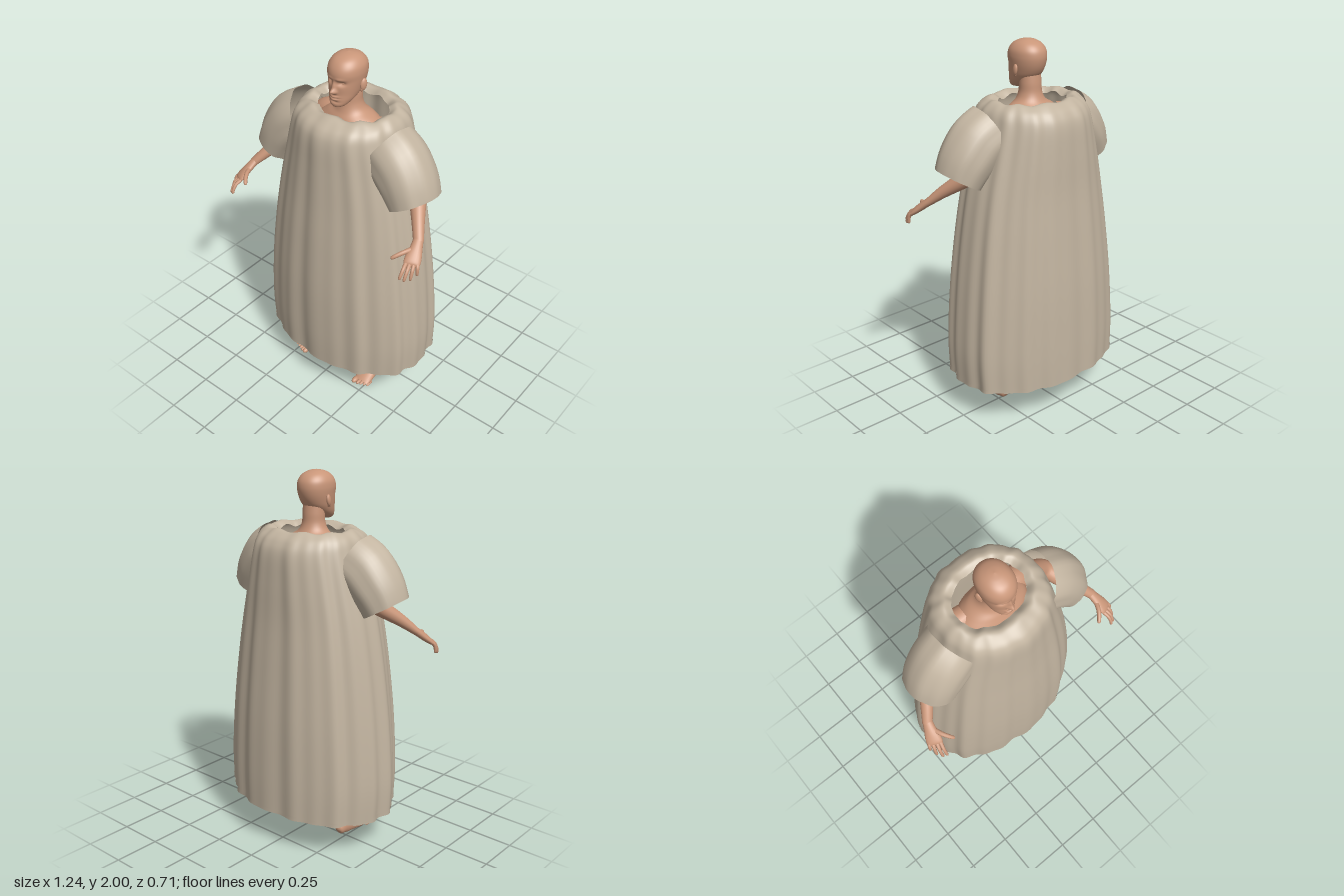
import * as THREE from 'three';

const skin = new THREE.MeshStandardMaterial({ color: 0xc99679 });
skin.name = 'skin';
const cloth = new THREE.MeshStandardMaterial({ color: 0xc2b4a0, side: THREE.DoubleSide });
cloth.name = 'cloth';

const TAU = Math.PI * 2;

// smooth interpolation through rows of numbers
function mix(rows, t) {
  const n = rows.length, s = Math.min(Math.max(t, 0), 1) * (n - 1);
  const i = Math.min(Math.floor(s), n - 2), f = s - i;
  const a = rows[Math.max(i - 1, 0)], b = rows[i], c = rows[i + 1], d = rows[Math.min(i + 2, n - 1)];
  return b.map((_, k) => b[k] + 0.5 * f * (c[k] - a[k]
    + f * (2 * a[k] - 5 * b[k] + 4 * c[k] - d[k] + f * (3 * (b[k] - c[k]) + d[k] - a[k]))));
}

// closed-around surface: fn(t along, angle) -> Vector3
function skinOver(steps, seg, fn) {
  const pos = [], idx = [];
  for (let i = 0; i <= steps; i++) {
    for (let j = 0; j < seg; j++) {
      pos.push(...fn(i / steps, j / seg * TAU).toArray());
      if (i === steps) continue;
      const a = i * seg + j, b = i * seg + (j + 1) % seg;
      idx.push(a, b, b + seg, a, b + seg, a + seg);
    }
  }
  const g = new THREE.BufferGeometry();
  g.setAttribute('position', new THREE.Float32BufferAttribute(pos, 3));
  g.setIndex(idx);
  g.computeVertexNormals();
  return g;
}

// horizontal sections: [y, half width, back z, front z]
function stackPoint(rows, t, a, power = 1) {
  const [y, hx, zb, zf] = mix(rows, t);
  const s = Math.sin(a), c = Math.cos(a);
  return new THREE.Vector3(
    Math.max(hx, 0) * Math.sign(s) * Math.abs(s) ** power, y,
    (zb + zf) / 2 + (zf - zb) / 2 * Math.sign(c) * Math.abs(c) ** power);
}

// limb along a path: [x, y, z, radius along ref, radius across]
function limb(rows, ref, seg = 16, floor = -1, ripple = () => 1) {
  const up = new THREE.Vector3(...ref);
  const at = t => new THREE.Vector3(...mix(rows, t).slice(0, 3));
  return skinOver((rows.length - 1) * 5, seg, (t, a) => {
    const r = mix(rows, t), k = ripple(t, a);
    const T = at(t + 0.02).sub(at(t - 0.02)).normalize();
    const V = T.clone().cross(up).normalize(), U = V.clone().cross(T);
    const p = at(t).addScaledVector(U, Math.max(r[3], 0) * Math.cos(a) * k)
      .addScaledVector(V, Math.max(r[4], 0) * Math.sin(a) * k);
    p.y = Math.max(p.y, floor);
    return p;
  });
}

function add(parent, name, geometry, material) {
  const m = new THREE.Mesh(geometry, material);
  m.name = name;
  parent.add(m);
  return m;
}

function ball(parent, name, p, s) {
  const m = add(parent, name, new THREE.SphereGeometry(1, 16, 12), skin);
  m.position.set(...p);
  m.scale.set(...s);
  return m;
}

// head with brow, nose, lips and eye sockets pushed out of the skull
function headGeometry() {
  const rows = [[1.742, 0, 0.11, 0.12], [1.746, 0.026, 0.085, 0.138], [1.76, 0.046, 0.05, 0.145],
    [1.785, 0.063, 0.005, 0.143], [1.815, 0.074, -0.035, 0.14], [1.845, 0.081, -0.057, 0.14],
    [1.88, 0.087, -0.071, 0.138], [1.915, 0.09, -0.076, 0.142], [1.948, 0.085, -0.069, 0.132],
    [1.976, 0.066, -0.045, 0.108], [1.993, 0.037, -0.008, 0.07], [2.0, 0, 0.03, 0.03]];
  const bump = (p, x, y, sx, sy, h) =>
    h * Math.exp(-(((Math.abs(p.x) - x) / sx) ** 2) - ((p.y - y) / sy) ** 2);
  return skinOver(90, 96, (t, a) => {
    const p = stackPoint(rows, t, a, 0.95);
    if (Math.cos(a) > 0.1) {
      p.z += bump(p, 0, 1.833, 0.012, 0.013, 0.026) + bump(p, 0, 1.86, 0.009, 0.022, 0.012)
        + bump(p, 0.012, 1.828, 0.007, 0.008, 0.008) + bump(p, 0.034, 1.874, 0.018, 0.011, -0.014)
        + bump(p, 0.03, 1.896, 0.024, 0.008, 0.005) + bump(p, 0, 1.803, 0.022, 0.005, 0.009)
        + bump(p, 0, 1.79, 0.02, 0.005, 0.009) + bump(p, 0, 1.797, 0.024, 0.002, -0.005)
        + bump(p, 0, 1.776, 0.025, 0.006, -0.005);
    }
    return p;
  });
}

const robeRows = [[0.2, 0.49, -0.35, 0.345], [0.4, 0.495, -0.35, 0.35], [0.7, 0.473, -0.342, 0.345],
  [1.0, 0.436, -0.323, 0.325], [1.25, 0.393, -0.305, 0.302], [1.45, 0.345, -0.298, 0.288],
  [1.6, 0.305, -0.288, 0.278], [1.665, 0.285, -0.262, 0.255], [1.7, 0.255, -0.222, 0.21],
  [1.712, 0.222, -0.187, 0.173], [1.69, 0.188, -0.155, 0.138]];

// draped point: folds deepen toward the hem
function robePoint(t, a, grow = 1) {
  const p = stackPoint(robeRows, t, a, 0.92);
  const depth = 1 - 0.5 * t;
  const k = grow + depth * (0.016 * Math.sin(13 * a + 0.6 + 0.8 * t)
    + 0.012 * Math.sin(22 * a + 2) + 0.008 * Math.sin(7 * a + 3 * t));
  p.x *= k;
  p.z *= k;
  if (t > 0.75) p.y += (t - 0.75) * 4 * 0.009 * Math.sin(9 * a + 1);
  return p;
}

function buildSide() {
  const side = new THREE.Group();

  // sleeve
  add(side, 'sleeve', limb([[0.25, 1.55, 0.03, 0.165, 0.15], [0.32, 1.51, 0.04, 0.162, 0.155],
    [0.39, 1.43, 0.05, 0.146, 0.152], [0.44, 1.34, 0.06, 0.124, 0.14]], [0, 1, 0], 48, -1,
    (t, a) => 1 + 0.015 * Math.sin(7 * a + 2 * t) + 0.01 * Math.sin(11 * a)), cloth);

  // arm and hand
  add(side, 'arm', limb([[0.13, 1.6, -0.03, 0.06, 0.06], [0.2, 1.58, -0.035, 0.062, 0.065],
    [0.3, 1.49, -0.045, 0.05, 0.052], [0.385, 1.405, -0.045, 0.043, 0.045],
    [0.43, 1.35, 0.02, 0.043, 0.045], [0.5, 1.275, 0.11, 0.031, 0.033],
    [0.552, 1.212, 0.175, 0.02, 0.026]], [0, 1, 0.2], 24), skin);
  const palm = [0.36, 0.72, 0.45];
  add(side, 'palm', limb([[0.545, 1.222, 0.165, 0.02, 0.025], [0.558, 1.195, 0.2, 0.02, 0.031],
    [0.569, 1.168, 0.235, 0.018, 0.04], [0.578, 1.146, 0.263, 0.013, 0.041],
    [0.583, 1.137, 0.275, 0, 0.03]], palm, 20), skin);
  const fingers = [[[0.555, 1.146, 0.28], [0.562, 1.088, 0.342]], [[0.571, 1.144, 0.27], [0.582, 1.08, 0.332]],
    [[0.587, 1.144, 0.257], [0.6, 1.077, 0.303]], [[0.6, 1.146, 0.244], [0.613, 1.09, 0.265]],
    [[0.548, 1.19, 0.212], [0.487, 1.163, 0.312]]];
  fingers.forEach(([b, e], i) => {
    const r = i === 4 ? 0.012 : 0.0095;
    const on = (f, lift) => b.map((v, k) => v + (e[k] - v) * f + palm[k] * lift);
    add(side, i === 4 ? 'thumb' : 'finger', limb([[...on(0, 0), r, r * 1.2], [...on(0.4, 0.012), r, r],
      [...on(0.75, 0.008), r * 0.9, r * 0.9], [...on(0.95, 0), r * 0.7, r * 0.7],
      [...on(1, -0.002), 0, 0]], palm, 10), skin);
  });

  // leg and foot
  add(side, 'leg', limb([[0.1, 0.95, 0, 0.09, 0.09], [0.125, 0.78, 0.01, 0.085, 0.08],
    [0.16, 0.54, 0.015, 0.056, 0.054], [0.185, 0.38, 0, 0.056, 0.05],
    [0.212, 0.2, 0.008, 0.037, 0.031], [0.22, 0.12, 0.006, 0.035, 0.029],
    [0.22, 0.04, 0.005, 0.036, 0.03]], [0, 0, 1], 24), skin);
  add(side, 'foot', limb([[0.22, 0.03, -0.037, 0, 0], [0.22, 0.035, -0.027, 0.03, 0.024],
    [0.22, 0.048, 0.015, 0.05, 0.033], [0.221, 0.045, 0.06, 0.05, 0.037],
    [0.223, 0.028, 0.12, 0.034, 0.045], [0.223, 0.018, 0.175, 0.021, 0.049],
    [0.223, 0.014, 0.2, 0.012, 0.045]], [0, 1, 0], 24, 0), skin);
  [0.018, 0.0115, 0.0105, 0.01, 0.0095].forEach((r, i) => {
    ball(side, 'toe', [0.19 + i * 0.0185 + (i ? 0.005 : 0), r * 0.85, 0.21 - i * 0.008],
      [r * 0.9, r * 0.85, 0.026]);
  });

  // ear and eyelid
  ball(side, 'ear', [0.089, 1.85, 0.025], [0.011, 0.031, 0.019]).rotation.set(-0.2, -0.35, 0);
  ball(side, 'ear lobe', [0.084, 1.826, 0.033], [0.008, 0.012, 0.01]);
  ball(side, 'eyelid', [0.034, 1.874, 0.107], [0.014, 0.0095, 0.012]);
  return side;
}

export function createModel() {
  const model = new THREE.Group();
  model.name = 'robed figure';

  add(model, 'head', headGeometry(), skin);

  // neck and torso, from hips up
  const torso = [[0.8, 0, 0, 0], [0.85, 0.14, -0.1, 0.09], [0.98, 0.185, -0.12, 0.11], [1.15, 0.155, -0.09, 0.11],
    [1.32, 0.17, -0.1, 0.13], [1.5, 0.2, -0.12, 0.145], [1.6, 0.195, -0.12, 0.13],
    [1.655, 0.14, -0.095, 0.105], [1.69, 0.083, -0.066, 0.085], [1.73, 0.062, -0.05, 0.072],
    [1.78, 0.059, -0.046, 0.066], [1.83, 0.056, -0.04, 0.06]];
  add(model, 'neck and torso', skinOver(60, 40, (t, a) => stackPoint(torso, t, a)), skin);

  // robe with a folded band at the hem
  add(model, 'robe', skinOver(60, 160, (t, a) => robePoint(t, a)), cloth);
  add(model, 'hem', skinOver(2, 160, (t, a) => robePoint(t * 0.02, a, 1.006)), cloth);

  const left = buildSide();
  left.name = 'left side';
  const right = buildSide();
  right.name = 'right side';
  right.scale.x = -1;
  model.add(left, right);
  return model;
}
